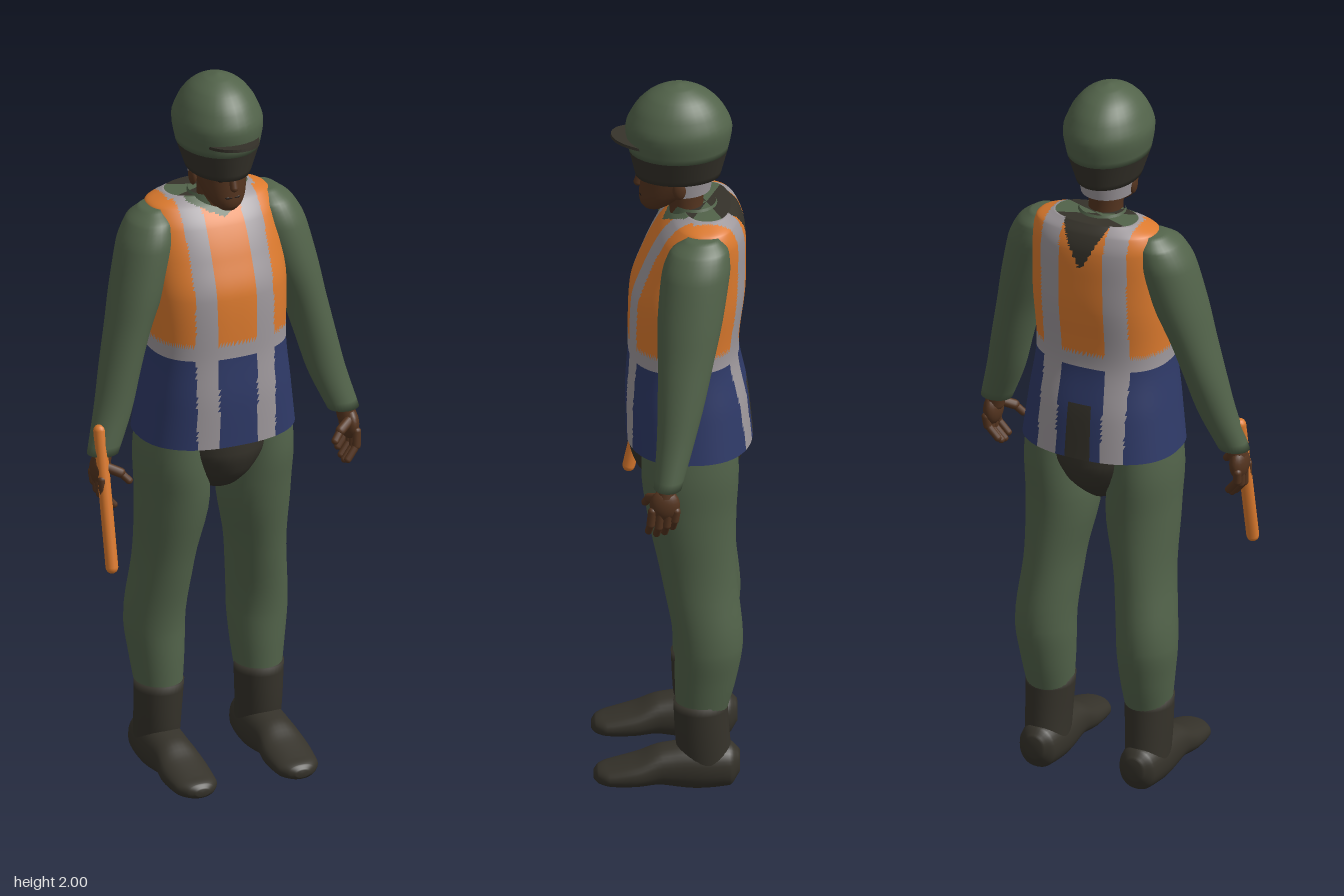
import * as THREE from 'three';

const mat = (name, color, side = THREE.FrontSide) => {
  const m = new THREE.MeshStandardMaterial({ color, side });
  m.name = name;
  return m;
};

// Smooth monotone interpolation of column c between sections k and k+1
function blend(S, k, c, t) {
  const sec = (i) => (S[i + 1][c] - S[i][c]) / (S[i + 1][0] - S[i][0]);
  const slope = (i) => {
    if (i === 0) return sec(0);
    if (i === S.length - 1) return sec(i - 1);
    const a = sec(i - 1), b = sec(i);
    return a * b <= 0 ? 0 : (2 * a * b) / (a + b);
  };
  const h = S[k + 1][0] - S[k][0], t2 = t * t, t3 = t2 * t;
  return (2 * t3 - 3 * t2 + 1) * S[k][c] + (t3 - 2 * t2 + t) * h * slope(k)
    + (3 * t2 - 2 * t3) * S[k + 1][c] + (t3 - t2) * h * slope(k + 1);
}

// Skin over sections [height, centreX, centreZ, radiusX, radiusZ];
// p squares the outline, pick(x, y, z) chooses a material index per face
function loft(S, { side = 1, segs = 32, steps = 5, p = 2, bottom = true, top = true, pick = null } = {}) {
  const pos = [], tris = [];
  const pw = (v) => Math.sign(v) * Math.abs(v) ** (2 / p);
  let rows = 0;
  for (let k = 0; k < S.length - 1; k++) {
    const last = k === S.length - 2;
    for (let s = 0; s < steps + (last ? 1 : 0); s++, rows++) {
      const t = s / steps, y = S[k][0] + (S[k + 1][0] - S[k][0]) * t;
      const [cx, cz, rx, rz] = [1, 2, 3, 4].map((c) => blend(S, k, c, t));
      for (let j = 0; j < segs; j++) {
        const a = (j / segs) * Math.PI * 2;
        pos.push(cx * side + rx * pw(Math.cos(a)), y, cz + rz * pw(Math.sin(a)));
      }
    }
  }
  for (let i = 0; i < rows - 1; i++) for (let j = 0; j < segs; j++) {
    const a = i * segs + j, b = i * segs + (j + 1) % segs;
    tris.push([a, a + segs, b], [b, a + segs, b + segs]);
  }
  const cap = (row, sec, up) => {
    const c = pos.length / 3;
    pos.push(sec[1] * side, sec[0], sec[2]);
    for (let j = 0; j < segs; j++) {
      const a = row * segs + j, b = row * segs + (j + 1) % segs;
      tris.push(up ? [a, c, b] : [a, b, c]);
    }
  };
  if (bottom) cap(0, S[0], false);
  if (top) cap(rows - 1, S[S.length - 1], true);
  const g = new THREE.BufferGeometry();
  g.setAttribute('position', new THREE.Float32BufferAttribute(pos, 3));
  if (pick) {
    const bins = [];
    for (const t of tris) {
      const mid = [0, 1, 2].map((c) => (pos[t[0] * 3 + c] + pos[t[1] * 3 + c] + pos[t[2] * 3 + c]) / 3);
      (bins[pick(...mid)] ??= []).push(t);
    }
    let start = 0;
    const index = [];
    bins.forEach((b, m) => {
      g.addGroup(start, b.length * 3, m);
      start += b.length * 3;
      index.push(...b.flat());
    });
    g.setIndex(index);
  } else g.setIndex(tris.flat());
  g.computeVertexNormals();
  return g;
}

export function createModel() {
  const green = mat('uniform green', 0x52634a), orange = mat('vest orange', 0xdc7a2e, THREE.DoubleSide);
  const navy = mat('vest navy', 0x2f3a68, THREE.DoubleSide), grey = mat('reflective grey', 0x9e989c, THREE.DoubleSide);
  const dark = mat('dark leather', 0x35322a, THREE.DoubleSide), skin = mat('skin brown', 0x54341f);
  const black = mat('feature black', 0x1c1512);
  const model = new THREE.Group();
  const add = (name, geo, material, parent = model) => {
    const m = new THREE.Mesh(geo, material);
    m.name = name;
    parent.add(m);
    return m;
  };
  // Round-ended rod between two points
  const rod = (name, a, b, r, material, parent) => {
    const A = new THREE.Vector3(...a), B = new THREE.Vector3(...b), d = B.clone().sub(A);
    const m = add(name, new THREE.CapsuleGeometry(r, d.length(), 5, 12), material, parent);
    m.position.copy(A).add(B).multiplyScalar(0.5);
    m.quaternion.setFromUnitVectors(new THREE.Vector3(0, 1, 0), d.normalize());
    return m;
  };
  const ball = (name, p, s, material, parent) => {
    const m = add(name, new THREE.SphereGeometry(1, 20, 14), material, parent);
    m.position.set(...p);
    m.scale.set(...s);
    return m;
  };

  // Vest: orange above, grey belt and braces, navy skirt, neckline showing the shirt
  const vestColour = (x, y, z) => {
    const ax = Math.abs(x), back = z < -0.05;
    if (back && y > 1.53 && ax < (y - 1.53) * 0.55) return 4;
    if (y > 1.6 + ax * 0.5 && ax < 0.085 && z > -0.13) return 3;
    if (back && y < 1.13 && ax < 0.035) return 4;
    if (y > 1.235 && y < 1.275) return 2;
    if (back ? ax > 0.065 && ax < 0.125 : ax > 0.055 && ax < 0.113) return 2;
    return y > 1.25 ? 0 : 1;
  };
  add('vest', loft([
    [0.98, 0, -0.043, 0.217, 0.167], [1.1, 0, -0.036, 0.202, 0.162], [1.25, 0, -0.027, 0.186, 0.146],
    [1.4, 0, -0.037, 0.191, 0.152], [1.5, 0, -0.055, 0.189, 0.137], [1.58, 0, -0.073, 0.186, 0.116],
    [1.625, 0, -0.083, 0.17, 0.09], [1.65, 0, -0.088, 0.115, 0.062],
  ], { segs: 160, steps: 9, p: 2.4, bottom: false, pick: vestColour }), [orange, navy, grey, green, dark]);

  // Dark seat of the trousers
  add('pelvis', loft([
    [0.815, 0, -0.04, 0.035, 0.05], [0.84, 0, -0.035, 0.06, 0.09], [0.89, 0, -0.037, 0.105, 0.135],
    [0.95, 0, -0.037, 0.14, 0.153], [1.05, 0, -0.037, 0.16, 0.15],
  ]), dark);

  // Limbs, one set per side
  for (const side of [1, -1]) {
    const word = side > 0 ? 'left' : 'right';
    add(word + 'TrouserLeg', loft([
      [0.22, 0.143, -0.07, 0.06, 0.066], [0.32, 0.145, -0.082, 0.072, 0.081], [0.42, 0.148, -0.09, 0.08, 0.09],
      [0.6, 0.133, -0.068, 0.079, 0.099], [0.8, 0.117, -0.046, 0.097, 0.118],
      [0.92, 0.123, -0.042, 0.094, 0.128], [1.04, 0.12, -0.042, 0.085, 0.125],
    ], { side }), green);
    add(word + 'BootShaft', loft([
      [0.06, 0.146, -0.085, 0.058, 0.07], [0.14, 0.146, -0.075, 0.061, 0.072], [0.255, 0.144, -0.068, 0.066, 0.071],
    ], { side }), dark);
    // Foot is skinned lengthwise, then laid down so its height axis runs forward
    add(word + 'BootFoot', loft([
      [-0.172, 0.146, -0.075, 0.025, 0.03], [-0.145, 0.146, -0.068, 0.052, 0.06], [-0.06, 0.146, -0.068, 0.062, 0.066],
      [0.03, 0.147, -0.068, 0.059, 0.054], [0.1, 0.147, -0.052, 0.066, 0.04], [0.17, 0.146, -0.042, 0.06, 0.028],
      [0.2, 0.145, -0.04, 0.04, 0.021], [0.212, 0.144, -0.038, 0.018, 0.01],
    ], { side, p: 2.2 }).rotateX(Math.PI / 2), dark);
    add(word + 'Sleeve', loft([
      [0.985, 0.347, 0.022, 0.043, 0.037], [1.1, 0.307, 0.0, 0.052, 0.05], [1.2, 0.282, -0.015, 0.055, 0.062],
      [1.3, 0.256, -0.027, 0.059, 0.073], [1.43, 0.217, -0.042, 0.072, 0.087], [1.53, 0.188, -0.055, 0.077, 0.09],
      [1.59, 0.172, -0.065, 0.063, 0.078], [1.625, 0.162, -0.075, 0.03, 0.04],
    ], { side }), green);

    // Hand with curled fingers and an inward thumb
    const hand = new THREE.Group();
    hand.name = word + 'Hand';
    model.add(hand);
    rod('wrist', [0.347 * side, 1.0, 0.025], [0.355 * side, 0.96, 0.028], 0.026, skin, hand);
    ball('palm', [0.36 * side, 0.94, 0.03], [0.024, 0.045, 0.04], skin, hand);
    for (let i = 0; i < 4; i++) {
      const z = 0.0 + i * 0.021, drop = [0.02, 0.005, 0, 0.008][i];
      rod('fingerBase', [0.368 * side, 0.925, z], [0.365 * side, 0.878 + drop, z + 0.004], 0.0115, skin, hand);
      rod('fingerTip', [0.365 * side, 0.878 + drop, z + 0.004], [0.338 * side, 0.845 + drop, z + 0.009], 0.01, skin, hand);
    }
    rod('thumbBase', [0.352 * side, 0.955, 0.05], [0.318 * side, 0.94, 0.07], 0.0135, skin, hand);
    rod('thumbTip', [0.318 * side, 0.94, 0.07], [0.298 * side, 0.918, 0.08], 0.0105, skin, hand);
  }

  // Baton in the right hand
  rod('baton', [-0.36, 1.053, 0.03], [-0.36, 0.69, 0.108], 0.017, orange);

  // Neck, collar and head
  add('neck', loft([[1.58, 0, -0.05, 0.06, 0.055], [1.64, 0, -0.035, 0.046, 0.045], [1.74, 0, -0.03, 0.05, 0.055]]), skin);
  add('collar', loft([[1.6, 0, -0.065, 0.085, 0.075], [1.657, 0, -0.055, 0.062, 0.058]], { top: false }), green);
  add('head', loft([
    [1.64, 0, 0.05, 0.022, 0.025], [1.655, 0, 0.044, 0.04, 0.042], [1.69, 0, 0.022, 0.058, 0.067],
    [1.74, 0, -0.005, 0.069, 0.091], [1.8, 0, -0.01, 0.072, 0.093],
  ]), skin);
  rod('nose', [0, 1.745, 0.082], [0, 1.712, 0.093], 0.011, skin);
  ball('mouth', [0, 1.682, 0.084], [0.022, 0.005, 0.005], black);
  for (const s of [1, -1]) {
    ball('eye', [0.028 * s, 1.733, 0.077], [0.012, 0.005, 0.005], black);
    ball('ear', [0.071 * s, 1.72, -0.015], [0.01, 0.028, 0.018], skin);
  }

  // Helmet: dome, band, visor and rear strap
  add('helmetDome', loft([
    [1.81, 0, -0.014, 0.107, 0.131], [1.875, 0, -0.015, 0.117, 0.141], [1.925, 0, -0.015, 0.101, 0.122],
    [1.965, 0, -0.015, 0.074, 0.088], [1.99, 0, -0.015, 0.038, 0.045], [2.0, 0, -0.015, 0.006, 0.007],
  ], { steps: 4 }), green);
  add('helmetBand', loft([[1.735, 0, -0.013, 0.081, 0.112], [1.811, 0, -0.014, 0.107, 0.131]], { top: false }), dark);
  const brim = new THREE.Shape();
  brim.moveTo(-0.075, 0.06);
  brim.bezierCurveTo(-0.07, 0.2, 0.07, 0.2, 0.075, 0.06);
  const visor = add('visor', new THREE.ExtrudeGeometry(brim, { depth: 0.008, bevelEnabled: false, curveSegments: 20 }), dark);
  visor.rotation.x = Math.PI / 2 - 0.14;
  visor.position.set(0, 1.832, 0);
  const strap = add('rearStrap', new THREE.CylinderGeometry(0.077, 0.07, 0.045, 24, 1, true, Math.PI / 2, Math.PI), grey);
  strap.scale.z = 1.1;
  strap.position.set(0, 1.717, -0.022);

  return model;
}
